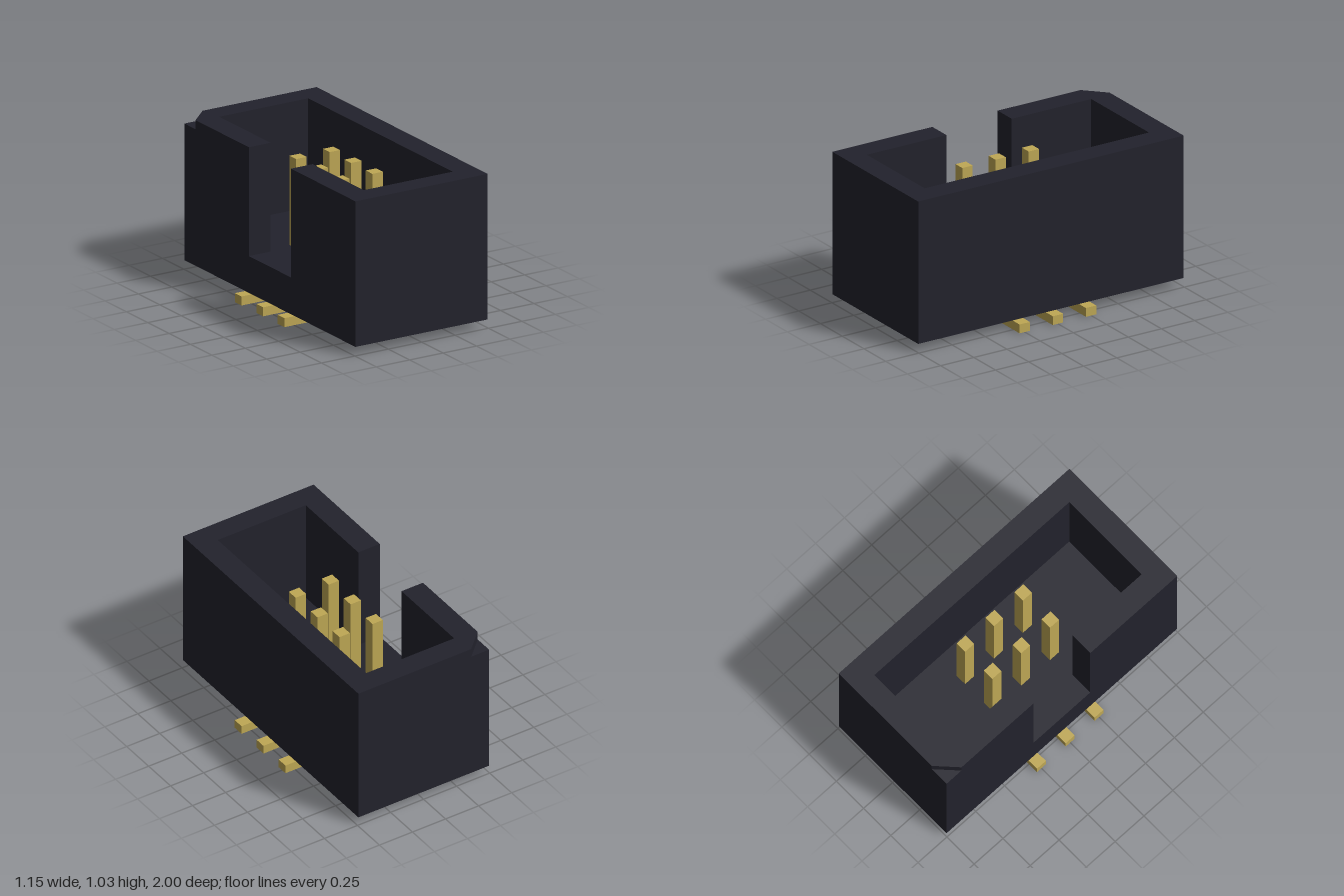
import * as THREE from 'three';

const plastic = new THREE.MeshStandardMaterial({ color: 0x22222c });
plastic.name = 'dark plastic';
const gold = new THREE.MeshStandardMaterial({ color: 0xbfa855 });
gold.name = 'gold contacts';

// Extrude a plan outline of [x, z] points between two heights
function prism(name, points, y0, y1) {
  const shape = new THREE.Shape(points.map(([x, z]) => new THREE.Vector2(x, -z)));
  const geo = new THREE.ExtrudeGeometry(shape, { depth: y1 - y0, bevelEnabled: false });
  geo.rotateX(-Math.PI / 2).translate(0, y0, 0);
  const mesh = new THREE.Mesh(geo, plastic);
  mesh.name = name;
  return mesh;
}

// Box given by its limits
function box(name, x0, x1, y0, y1, z0, z1, material) {
  const mesh = new THREE.Mesh(new THREE.BoxGeometry(x1 - x0, y1 - y0, z1 - z0), material);
  mesh.position.set((x0 + x1) / 2, (y0 + y1) / 2, (z0 + z1) / 2);
  mesh.name = name;
  return mesh;
}

export function createModel() {
  const model = new THREE.Group();
  model.name = 'pinHeader';

  const L = -0.496, R = 0.493, Z = 1;           // housing outside
  const l = -0.334, r = 0.331, z = 0.845;       // cavity
  const gap = 0.246;                            // half width of the key slot
  const bottom = 0.06, floor = 0.305, step = 0.97, top = 1.03;

  // Shroud: solid base, walls open at the key slot, top rim with a cut corner
  const housing = new THREE.Group();
  housing.name = 'housing';
  const inside = [[l, -gap], [l, -z], [r, -z], [r, z], [l, z], [l, gap], [L, gap]];
  const outside = [[L, Z], [R, Z], [R, -Z]];
  housing.add(
    box('housingBase', L, R, bottom, floor, -Z, Z, plastic),
    prism('housingWalls', [[L, -gap], ...inside, ...outside, [L, -Z]], floor, step),
    prism('housingRim', [[L, -gap], ...inside, ...outside, [-0.36, -Z], [L, -0.87]], step, top)
  );
  model.add(housing);

  // Two rows of three pins, each with a foot bent outward under the housing
  const pins = new THREE.Group();
  pins.name = 'pins';
  const h = 0.039;
  for (const side of [-1, 1]) {
    for (const row of [-0.25, 0, 0.25]) {
      const cx = side * 0.125;
      const ends = [side * 0.086, side * 0.573].sort((a, b) => a - b);
      pins.add(
        box('pinPost', cx - h, cx + h, bottom, 0.9, row - h, row + h, gold),
        box('pinFoot', ends[0], ends[1], 0, bottom, row - h, row + h, gold)
      );
    }
  }
  model.add(pins);
  return model;
}
